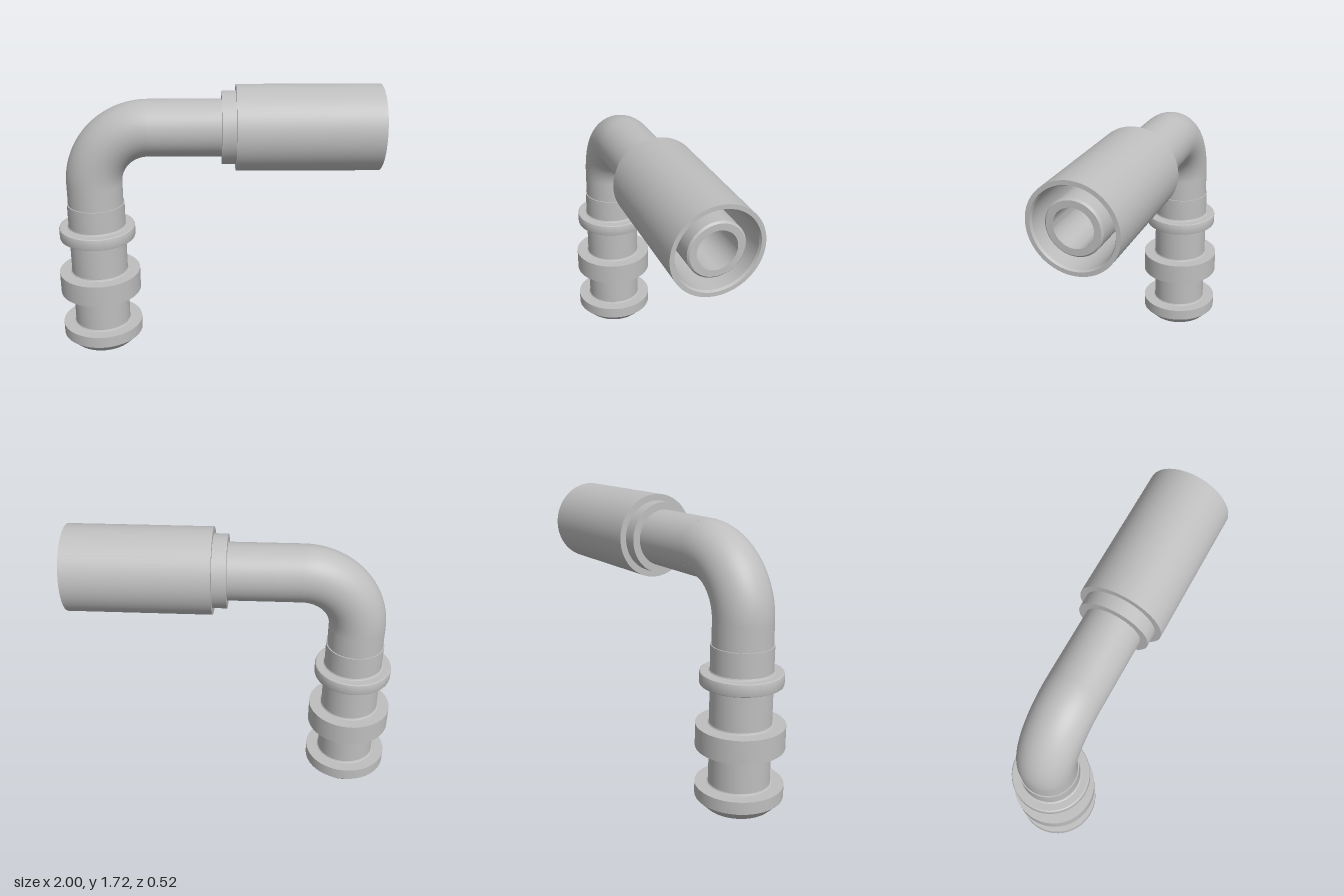
import * as THREE from 'three';
import { toCreasedNormals } from 'three/addons/utils/BufferGeometryUtils.js';

const STEM_X = -0.74, AXIS_Y = 1.46, BEND = 0.35, TUBE = 0.173, BORE = 0.112;

// Turned part: profile of [radius, height], smooth around and sharp at the steps
function turned(profile) {
  const points = profile.map(([r, h]) => new THREE.Vector2(r, h));
  return toCreasedNormals(new THREE.LatheGeometry(points, 72), 0.4);
}

// Turned part lying along +x on the upper axis
function turnedAlongX(profile) {
  return turned(profile).rotateZ(-Math.PI / 2).translate(0, AXIS_Y, 0);
}

// Quarter bend joining the stem to the horizontal tube
function quarterBend(radius) {
  return new THREE.TorusGeometry(BEND, radius, 64, 40, Math.PI / 2)
    .rotateZ(Math.PI / 2)
    .translate(STEM_X + BEND, AXIS_Y - BEND, 0);
}

export function createModel() {
  const group = new THREE.Group();
  const steel = new THREE.MeshStandardMaterial({ color: 0xbebebe, side: THREE.DoubleSide });
  steel.name = 'steel grey';

  const add = (name, geometry) => {
    const mesh = new THREE.Mesh(geometry, steel);
    mesh.name = name;
    group.add(mesh);
  };

  // Stem with chamfered foot, middle ring and rounded collar
  add('stem', turned([
    [BORE, 0], [0.2, 0], [0.26, 0.06], [0.26, 0.135],
    [0.19, 0.135], [0.183, 0.138], [0.18, 0.145],
    [0.18, 0.365], [0.26, 0.365], [0.26, 0.505],
    [0.19, 0.505], [0.183, 0.508], [0.18, 0.515],
    [0.18, 0.735], [0.183, 0.742], [0.19, 0.745],
    [0.232, 0.745], [0.238, 0.748], [0.24, 0.754],
    [0.24, 0.811], [0.238, 0.817], [0.232, 0.82],
    [0.19, 0.82], [0.183, 0.823], [0.18, 0.83],
    [0.18, 0.975], [TUBE, 0.975], [TUBE, AXIS_Y - BEND],
  ]).translate(STEM_X, 0, 0));
  add('stemBore', turned([[BORE, AXIS_Y - BEND], [BORE, 0]]).translate(STEM_X, 0, 0));

  // Elbow and its bore
  add('elbow', quarterBend(TUBE));
  add('elbowBore', quarterBend(BORE));

  // Horizontal tube ending in the hose nipple
  const tubeStart = STEM_X + BEND;
  add('horizontalTube', turnedAlongX([[TUBE, tubeStart], [TUBE, 0.06]]));
  add('hoseNipple', turnedAlongX([
    [0.16, 0.13], [0.16, 0.975], [0.15, 0.985], [BORE, 0.985], [BORE, tubeStart],
  ]));

  // Hollow crimp sleeve with a stepped shoulder
  add('crimpSleeve', turnedAlongX([
    [TUBE, 0.05], [0.22, 0.05], [0.22, 0.135], [0.26, 0.135], [0.26, 1],
    [0.235, 1], [0.228, 0.985], [0.228, 0.2], [0.16, 0.2],
  ]));

  return group;
}
